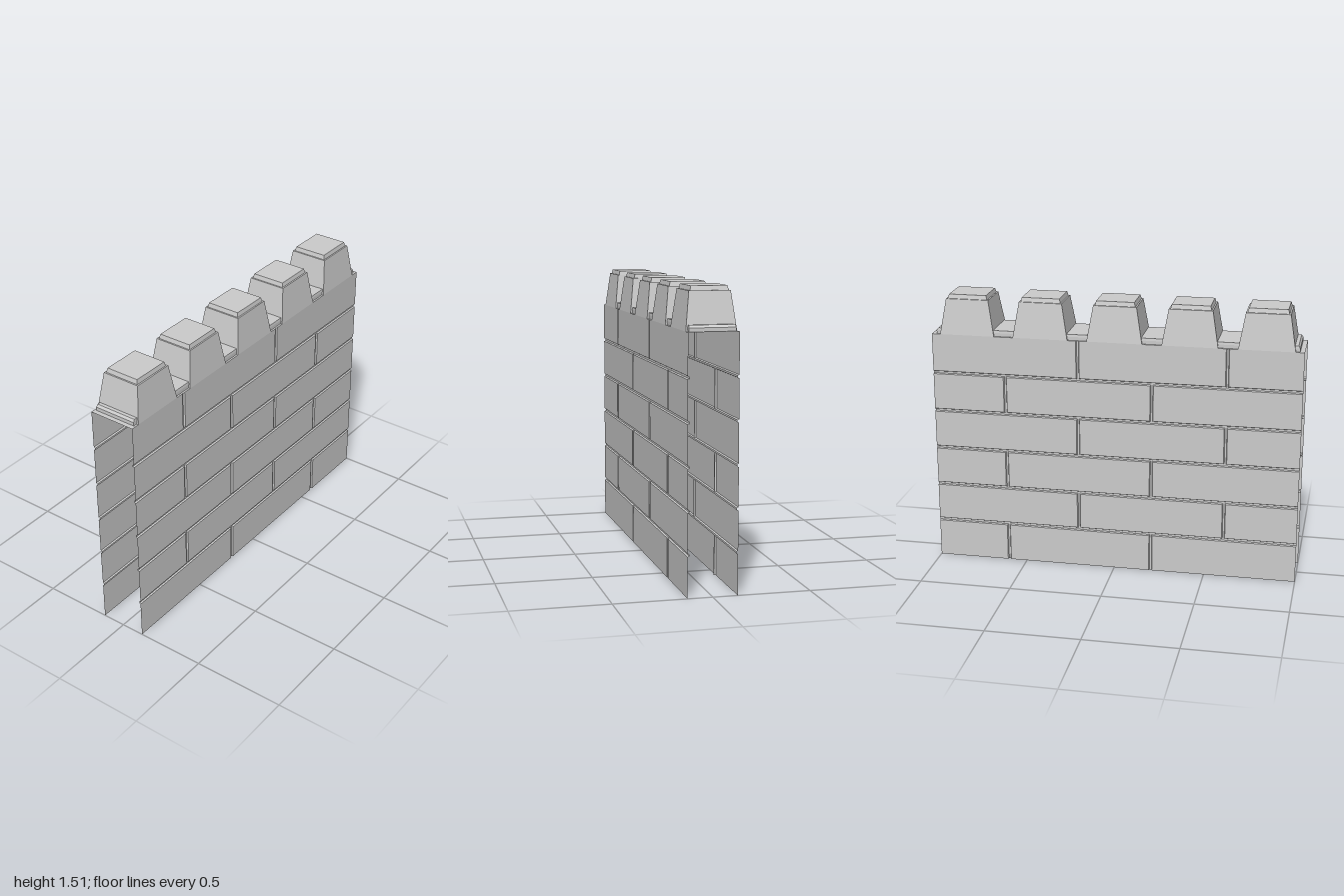
import * as THREE from 'three';
import { mergeGeometries } from 'three/addons/utils/BufferGeometryUtils.js';

const TOP = 1.293, ROWS = 6, ROW_H = TOP / ROWS;
const DEPTH = 0.127, GROOVE = 0.008;   // half wall thickness, joint depth
const FLOOR = 0.005, LIP = 0.009;      // half joint width at its floor and at the face

const material = new THREE.MeshStandardMaterial({
  color: 0xcccccc, flatShading: true, side: THREE.DoubleSide,
});

function add(parent, geometry, name) {
  const mesh = new THREE.Mesh(geometry, material);
  mesh.name = name;
  parent.add(mesh);
  return mesh;
}

// Open-backed stack of rectangles [x0, x1, y0, y1, z], closed by the last one
function rectLoft(rings) {
  const pos = [];
  const corners = ([x0, x1, y0, y1, z]) => [[x0, y0, z], [x1, y0, z], [x1, y1, z], [x0, y1, z]];
  const quad = (a, b, c, d) => pos.push(...a, ...b, ...c, ...a, ...c, ...d);
  const loops = rings.map(corners);
  for (let r = 0; r + 1 < loops.length; r++) {
    for (let i = 0; i < 4; i++) {
      const j = (i + 1) % 4;
      quad(loops[r][i], loops[r][j], loops[r + 1][j], loops[r + 1][i]);
    }
  }
  quad(...loops[loops.length - 1]);
  const g = new THREE.BufferGeometry();
  g.setAttribute('position', new THREE.Float32BufferAttribute(pos, 3));
  g.computeVertexNormals();
  return g;
}

// Upright block centred on the origin from [half width, half depth, height]
function block(levels) {
  return rectLoft(levels.map(([w, d, h]) => [-w, w, -d, d, h])).rotateX(-Math.PI / 2);
}

// One face of the wall: bevelled bricks in running bond with recessed joints
function wallFace(flip) {
  const face = new THREE.Group();
  const bricks = [], mortar = [];
  const zIn = DEPTH - GROOVE;
  const strip = (w, h, x, y) =>
    mortar.push(new THREE.PlaneGeometry(w, h).translate(x, y, zIn));

  for (let row = 0; row < ROWS; row++) {
    const y0 = row * ROW_H, y1 = y0 + ROW_H;
    const joints = (row % 2 ? [-0.603, 0.198] : [-0.203, 0.6]).map((x) => x * flip);
    const ends = [-1, ...joints, 1].sort((a, b) => a - b);
    for (let i = 0; i + 1 < ends.length; i++) {
      // Outer borders of the wall stay square, joints are bevelled
      const ring = (inset, z) => [
        ends[i] + (i > 0 ? inset : 0),
        ends[i + 1] - (i + 2 < ends.length ? inset : 0),
        y0 + (row > 0 ? inset : 0),
        y1 - (row < ROWS - 1 ? inset : 0), z];
      // Sides that lie on the wall border are left open
      const g = rectLoft([ring(FLOOR, zIn), ring(LIP, DEPTH)]);
      const open = [row === 0, i + 2 === ends.length, row === ROWS - 1, i === 0];
      const p = g.attributes.position.array;
      const kept = [];
      for (let s = 0; s < 5; s++) if (!open[s]) kept.push(...p.slice(s * 18, s * 18 + 18));
      g.setAttribute('position', new THREE.Float32BufferAttribute(kept, 3));
      g.computeVertexNormals();
      bricks.push(g);
    }
    joints.forEach((x) => strip(2 * FLOOR, ROW_H, x, (y0 + y1) / 2));
    if (row > 0) strip(2, 2 * FLOOR, 0, y0);
  }
  add(face, mergeGeometries(bricks), 'bricks');
  add(face, mergeGeometries(mortar), 'mortarJoints');
  return face;
}

export function createModel() {
  const model = new THREE.Group();
  model.name = 'battlementWall';

  // Front and back faces; ends and base are open
  const front = wallFace(1);
  front.name = 'frontFace';
  const back = wallFace(-1);
  back.name = 'backFace';
  back.rotation.y = Math.PI;
  model.add(front, back);

  // Flat top of the wall and the raised walkway strip on it
  add(model, new THREE.PlaneGeometry(2, 2 * DEPTH).rotateX(-Math.PI / 2).translate(0, TOP, 0), 'wallTop');
  add(model, block([[0.975, 0.117, TOP], [0.975, 0.117, 1.312], [0.966, 0.115, 1.325]]), 'walkway');

  // Tapered merlons with a small stepped cap
  const merlon = block([
    [0.149, DEPTH, TOP], [0.116, 0.104, 1.485],
    [0.108, 0.096, 1.485], [0.102, 0.091, 1.508],
  ]);
  for (let i = -2; i <= 2; i++) add(model, merlon, 'merlon').position.x = i * 0.402;

  return model;
}
